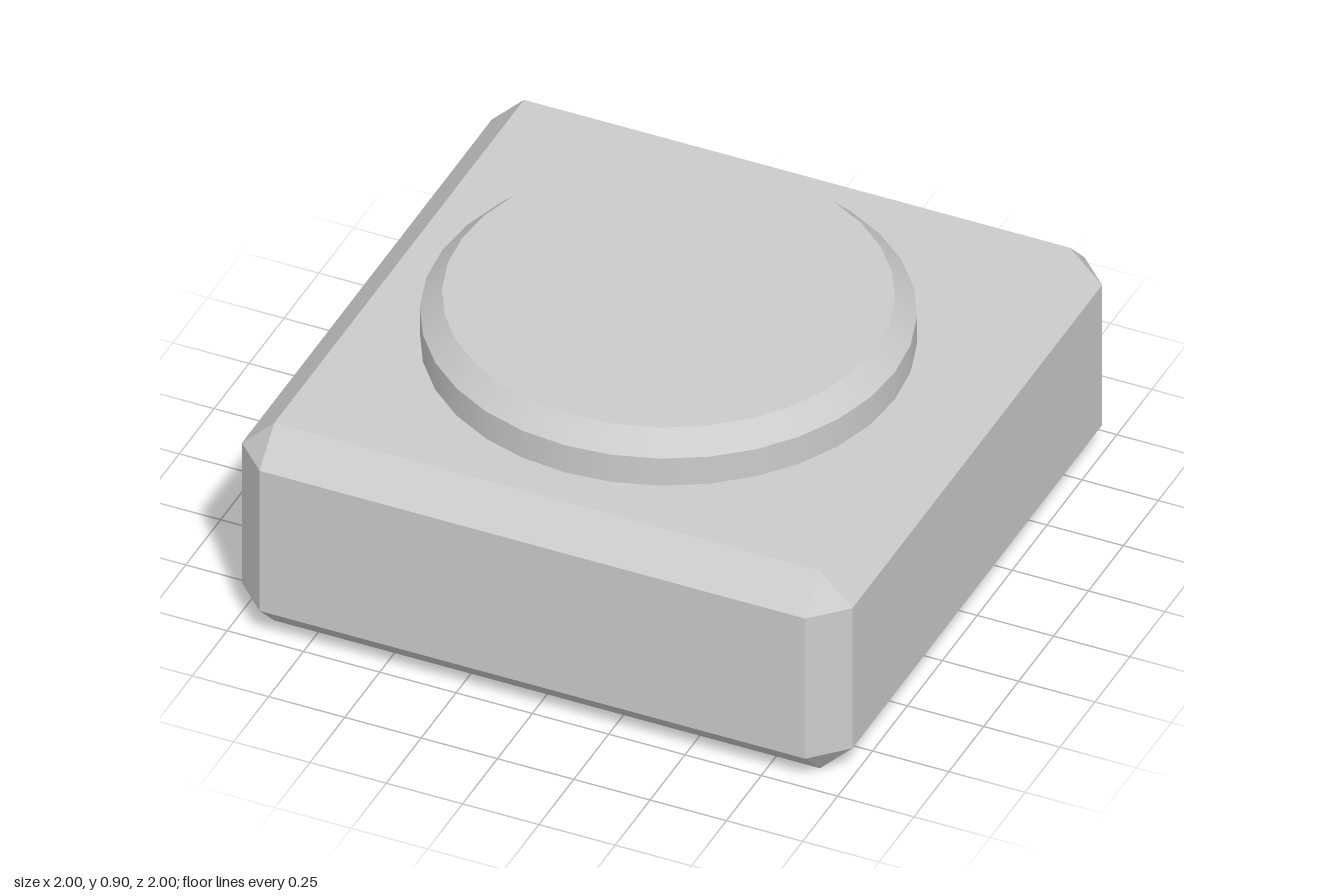
import * as THREE from 'three';
import { ConvexGeometry } from 'three/addons/geometries/ConvexGeometry.js';

const material = new THREE.MeshStandardMaterial({ color: 0xcccccc });

// Box with equally chamfered edges and triangular corners, standing on y = 0
function chamferedBox(width, height, depth, c) {
  const points = [];
  for (const sx of [-1, 1]) for (const sy of [-1, 1]) for (const sz of [-1, 1]) {
    const x = width / 2, y = height / 2, z = depth / 2;
    for (const [a, b, d] of [[0, c, c], [c, 0, c], [c, c, 0]]) {
      points.push(new THREE.Vector3(sx * (x - a), y + sy * (y - b), sz * (z - d)));
    }
  }
  return new ConvexGeometry(points);
}

export function createModel() {
  const model = new THREE.Group();
  model.name = 'pushButton';

  const add = (parent, name, geometry, y = 0) => {
    const mesh = new THREE.Mesh(geometry, material);
    mesh.name = name;
    mesh.position.y = y;
    parent.add(mesh);
  };

  // Housing
  const bodyHeight = 0.73;
  add(model, 'housing', chamferedBox(2, bodyHeight, 2, 0.106));

  // Round button, set slightly off centre: straight wall and bevelled cap
  const button = new THREE.Group();
  button.name = 'button';
  button.position.set(-0.003, bodyHeight, 0.019);
  model.add(button);

  const radius = 0.741, wall = 0.1, bevel = 0.066, sides = 32;
  add(button, 'buttonWall', new THREE.CylinderGeometry(radius, radius, wall, sides, 1, true), wall / 2);
  add(button, 'buttonBevel', new THREE.CylinderGeometry(radius - bevel, radius, bevel, sides, 1, true), wall + bevel / 2);
  const top = new THREE.CircleGeometry(radius - bevel, sides).rotateX(-Math.PI / 2);
  add(button, 'buttonTop', top, wall + bevel);

  return model;
}
